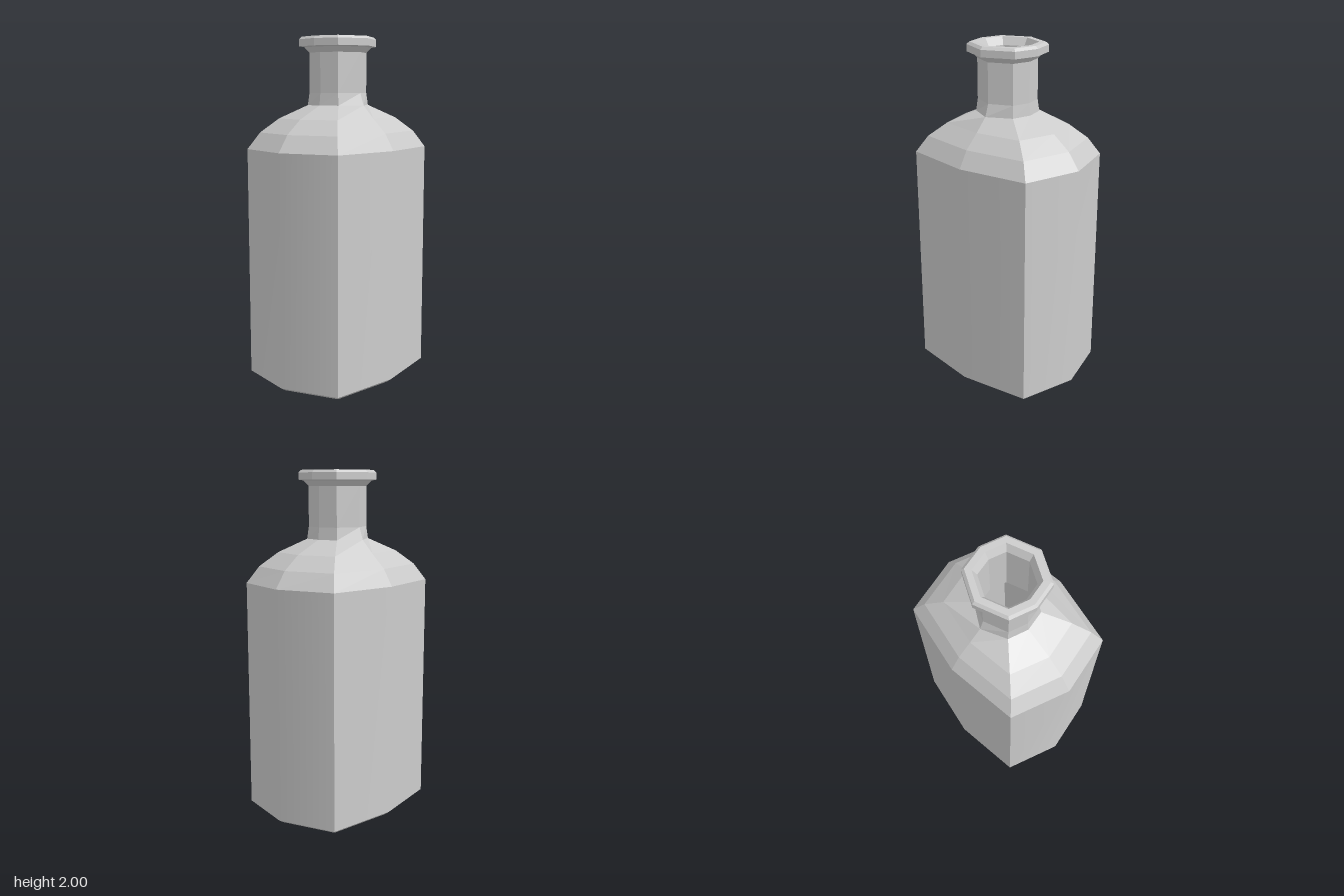
import * as THREE from 'three';
import { toCreasedNormals } from 'three/addons/utils/BufferGeometryUtils.js';

// Eight-sided ring: side point ax, corner (cx, cz), front point az
const ring = (y, ax, cx, cz, az) => [
  [ax, 0], [cx, cz], [0, az], [-cx, cz], [-ax, 0], [-cx, -cz], [0, -az], [cx, -cz],
].map(([x, z]) => new THREE.Vector3(x, y, z));

// Body-shaped and neck-shaped rings by scale
const bodyRing = (y, s) => ring(y, 0.51 * s, 0.415 * s, 0.337 * s, 0.4 * s);
const neckRing = (y, r) => ring(y, r, r * 0.82, r * 0.67, r * 1.03);

// Skin a list of rings; outward when the list runs up the outside
function loft(rings, crease) {
  const pos = [];
  const tri = (a, b, c) => {
    const area = b.clone().sub(a).cross(c.clone().sub(a)).length();
    if (area > 1e-9) for (const p of [a, b, c]) pos.push(p.x, p.y, p.z);
  };
  for (let j = 0; j + 1 < rings.length; j++) {
    for (let i = 0; i < 8; i++) {
      const k = (i + 1) % 8;
      tri(rings[j][i], rings[j + 1][i], rings[j][k]);
      tri(rings[j][k], rings[j + 1][i], rings[j + 1][k]);
    }
  }
  const geo = new THREE.BufferGeometry();
  geo.setAttribute('position', new THREE.Float32BufferAttribute(pos, 3));
  geo.computeVertexNormals();
  return crease ? toCreasedNormals(geo, crease) : geo;
}

export function createModel() {
  const group = new THREE.Group();
  const material = new THREE.MeshStandardMaterial({ color: 0xcccccc });
  const add = (name, rings, crease = 0) => {
    const mesh = new THREE.Mesh(loft(rings, crease), material);
    mesh.name = name;
    group.add(mesh);
  };

  // Hollowed underside with a bevelled foot
  add('base', [
    bodyRing(0.05, 0), bodyRing(0.03, 0.7), bodyRing(0, 0.8), bodyRing(0, 0.93), bodyRing(0.022, 1),
  ]);

  // Straight wall, softly bowed between its four corners
  add('body', [bodyRing(0.022, 1), bodyRing(1.36, 1)], 0.6);

  // Domed shoulder closing in on the neck
  const neckFoot = ring(1.61, 0.168, 0.138, 0.115, 0.188);
  add('shoulder', [
    bodyRing(1.36, 1),
    ring(1.455, 0.44, 0.36, 0.288, 0.343),
    ring(1.535, 0.335, 0.272, 0.219, 0.26),
    neckFoot,
  ]);

  add('neck', [neckFoot, neckRing(1.68, 0.16), neckRing(1.91, 0.16)]);

  // Flared collar and bevelled rim around the mouth
  add('lip', [
    neckRing(1.91, 0.16), neckRing(1.94, 0.187), neckRing(1.945, 0.215), neckRing(1.985, 0.215),
    neckRing(2, 0.2), neckRing(2, 0.165), neckRing(1.955, 0.14),
  ]);

  // Inner wall and floor seen through the mouth
  add('interior', [
    neckRing(1.955, 0.14), neckRing(1.6, 0.14),
    ring(1.51, 0.31, 0.25, 0.2, 0.24), bodyRing(1.35, 0.94),
    bodyRing(0.06, 0.94), bodyRing(0.08, 0),
  ]);

  return group;
}
